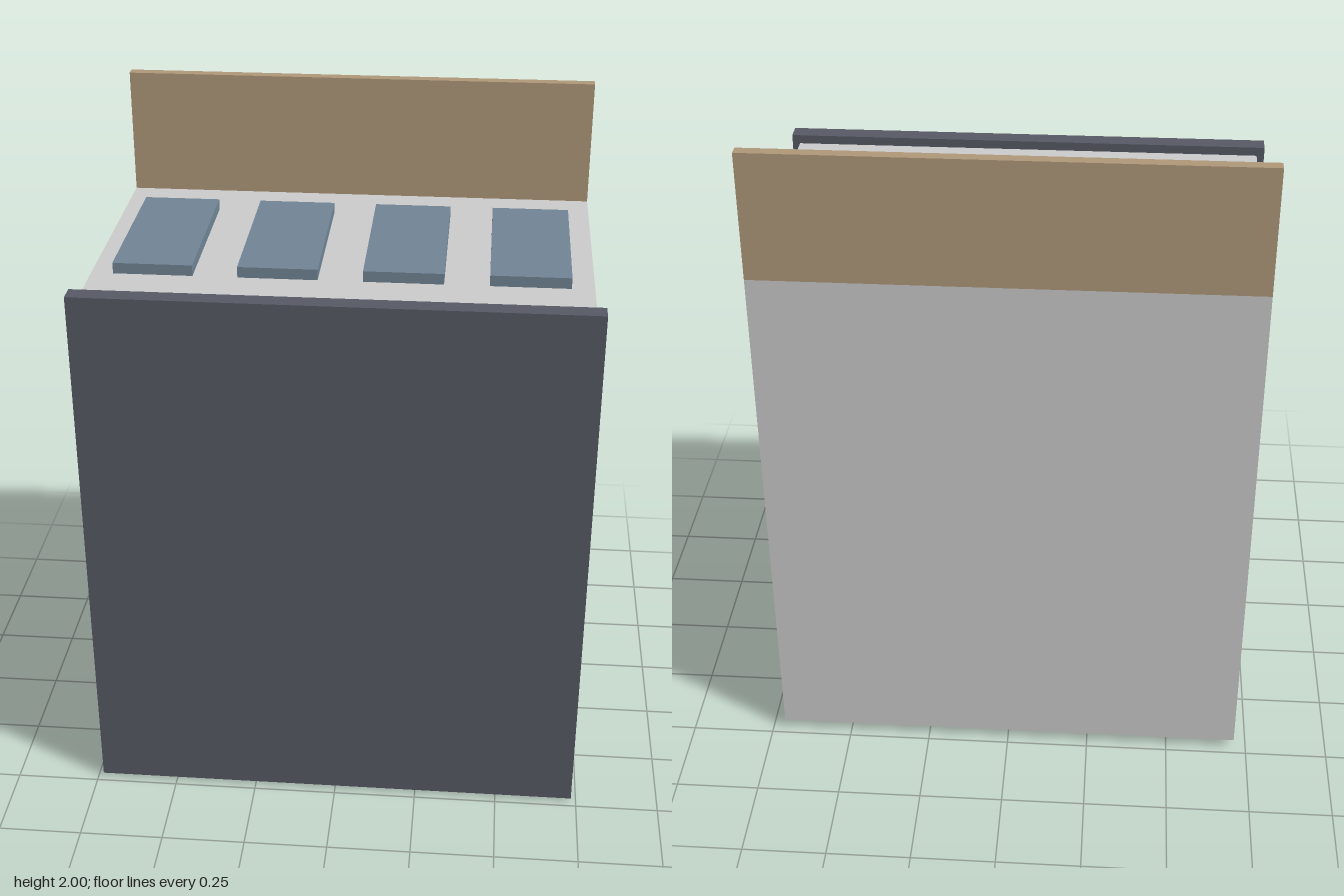
import * as THREE from 'three';

const material = (color) => new THREE.MeshStandardMaterial({ color });

// Box given by its extents along each axis
function block(name, mat, [x0, x1], [y0, y1], [z0, z1]) {
  const mesh = new THREE.Mesh(new THREE.BoxGeometry(x1 - x0, y1 - y0, z1 - z0), mat);
  mesh.name = name;
  mesh.position.set((x0 + x1) / 2, (y0 + y1) / 2, (z0 + z1) / 2);
  return mesh;
}

export function createModel() {
  const model = new THREE.Group();
  model.name = 'cabinet';

  const grey = material(0xcccccc);
  const dark = material(0x575a64);
  const blue = material(0x718596);
  const tan = material(0xb0987a);

  const bottom = 0.03, top = 1.625, back = -0.475, frontOfBody = 0.42;

  // Main case, overhanging front panel and upright board at the back
  model.add(block('body', grey, [-0.712, 0.712], [bottom, top], [back, frontOfBody]));
  model.add(block('frontPanel', dark, [-0.735, 0.735], [0.008, 1.652], [frontOfBody, 0.475]));
  model.add(block('backBoard', tan, [-0.712, 0.712], [top, 2], [back, -0.442]));

  // Row of four raised pads on top, with matching feet underneath
  const pads = new THREE.Group();
  pads.name = 'topPads';
  const feet = new THREE.Group();
  feet.name = 'feet';
  for (let i = 0; i < 4; i++) {
    const x = -0.535 + i * 0.356;
    const width = [x - 0.114, x + 0.114];
    pads.add(block('topPad', blue, width, [top, 1.657], [-0.28, 0.24]));
    feet.add(block('foot', dark, width, [0, bottom], [-0.225, 0.17]));
  }
  model.add(pads, feet);

  return model;
}
